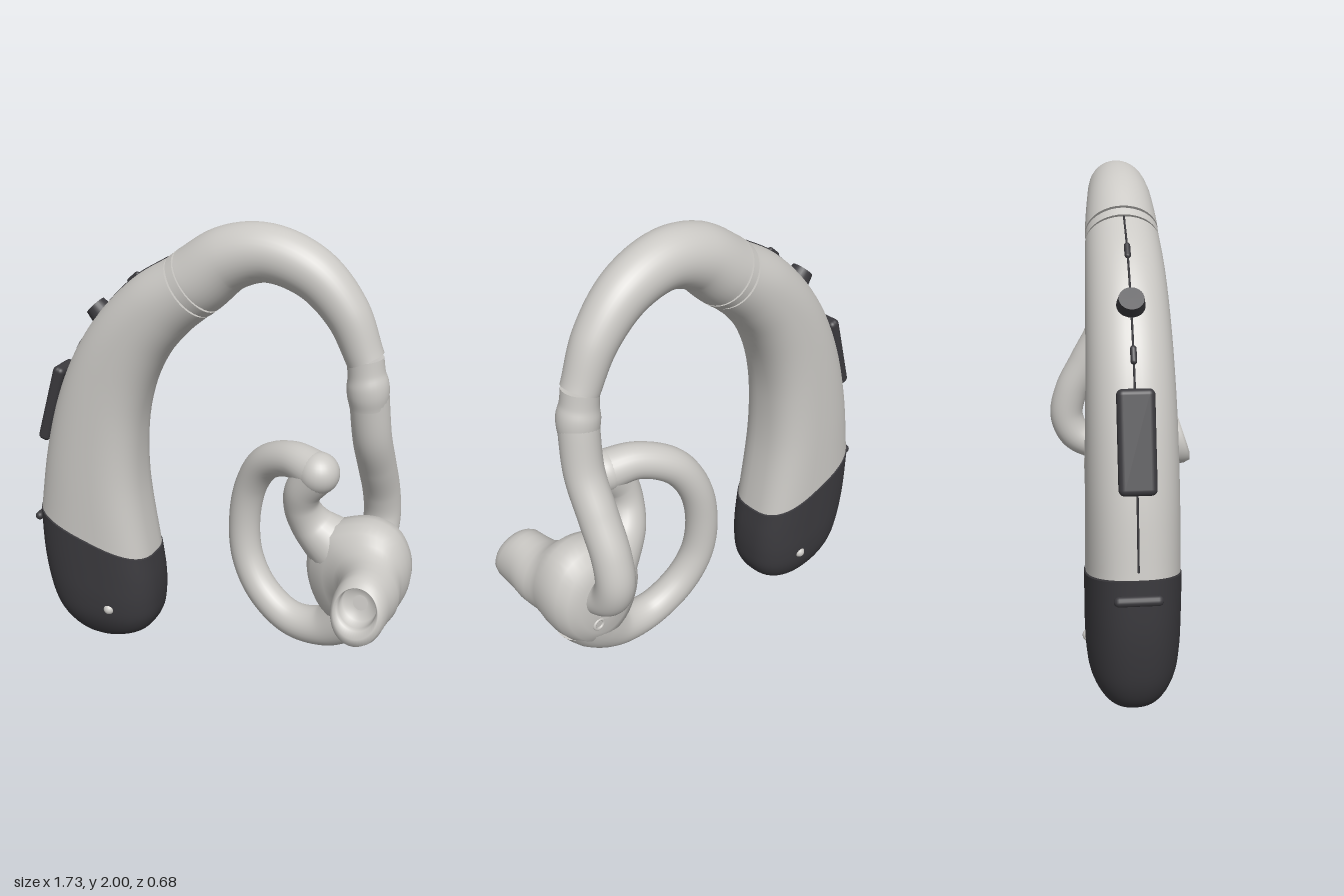
import * as THREE from 'three';
import { RoundedBoxGeometry } from 'three/addons/geometries/RoundedBoxGeometry.js';

const ZC = -0.053; // mid plane of the case
const V = (x, y, z) => new THREE.Vector3(x, y, z);

// Skin through closed rings of equal length; ends are capped with separate vertices.
function loft(rings, capStart = true, capEnd = true) {
  const n = rings[0].length, pos = [], idx = [];
  const push = (r) => { r.forEach((p) => pos.push(p.x, p.y, p.z)); return pos.length / 3 - n; };
  const starts = rings.map(push);
  const quad = (a, b) => {
    for (let j = 0; j < n; j++) {
      const k = (j + 1) % n;
      idx.push(a + j, a + k, b + k, a + j, b + k, b + j);
    }
  };
  for (let i = 0; i + 1 < starts.length; i++) quad(starts[i], starts[i + 1]);
  const cap = (r, atStart) => {
    const c = r.reduce((s, p) => s.add(p), V(0, 0, 0)).divideScalar(n);
    const a = push(r), m = pos.push(c.x, c.y, c.z) / 3 - 1;
    for (let j = 0; j < n; j++) {
      const k = (j + 1) % n;
      atStart ? idx.push(a + k, a + j, m) : idx.push(a + j, a + k, m);
    }
  };
  if (capStart) cap(rings[0], true);
  if (capEnd) cap(rings[rings.length - 1], false);
  // turn the faces outwards
  let vol = 0;
  const at = (i) => V(pos[3 * i], pos[3 * i + 1], pos[3 * i + 2]);
  for (let i = 0; i < idx.length; i += 3) vol += at(idx[i]).dot(at(idx[i + 1]).cross(at(idx[i + 2])));
  if (vol < 0) idx.reverse();
  const g = new THREE.BufferGeometry();
  g.setAttribute('position', new THREE.Float32BufferAttribute(pos, 3));
  g.setIndex(idx);
  g.computeVertexNormals();
  return g;
}

// Round tube with changing radius; keys are [x, y, z, radius].
function sweep(keys, steps = 60, sides = 28) {
  const curve = new THREE.CatmullRomCurve3(keys.map((k) => V(k[0], k[1], k[2])), false, 'centripetal');
  const radius = new THREE.SplineCurve(keys.map((k) => new THREE.Vector2(k[3], 0)));
  const f = curve.computeFrenetFrames(steps, false);
  const rings = [];
  for (let i = 0; i <= steps; i++) {
    const p = curve.getPointAt(i / steps), r = radius.getPoint(curve.getUtoTmapping(i / steps)).x;
    rings.push(Array.from({ length: sides }, (_, j) => {
      const a = (j / sides) * Math.PI * 2;
      return p.clone().addScaledVector(f.normals[i], r * Math.cos(a)).addScaledVector(f.binormals[i], r * Math.sin(a));
    }));
  }
  return loft(rings);
}

// Case shell; keys are [outer x, outer y, inner x, inner y, half depth].
function shell(keys, nStart, nEnd, steps = 40, sides = 48) {
  const spl = (a, b) => new THREE.SplineCurve(keys.map((k) => new THREE.Vector2(k[a], b < 0 ? 0 : k[b])));
  const outer = spl(0, 1), inner = spl(2, 3), depth = spl(4, -1);
  const rings = [];
  for (let i = 0; i <= steps; i++) {
    const t = i / steps, o = outer.getPoint(t), q = inner.getPoint(t), d = depth.getPoint(t).x;
    const n = THREE.MathUtils.lerp(nStart, nEnd, t);
    rings.push(Array.from({ length: sides }, (_, j) => {
      const a = (j / sides) * Math.PI * 2, c = Math.cos(a), s = Math.sin(a);
      const e = 2 / (c > 0 ? n + (n - 2) * 0.8 : n); // flatter on the inner side
      const u = Math.sign(c) * Math.abs(c) ** e, w = Math.sign(s) * Math.abs(s) ** e;
      return V((o.x + q.x) / 2 + (u * (q.x - o.x)) / 2, (o.y + q.y) / 2 + (u * (q.y - o.y)) / 2, ZC + w * d);
    }));
  }
  return loft(rings);
}

// Ear piece: rounded outline at the back blending into a canal with a hollow tip.
function earPlug() {
  const C = [0.66, 0.6];
  const outline = new THREE.CatmullRomCurve3([[0.86, 0.6], [0.85, 0.72], [0.79, 0.82], [0.7, 0.855], [0.59, 0.835],
    [0.48, 0.77], [0.435, 0.65], [0.455, 0.51], [0.52, 0.4], [0.62, 0.35], [0.73, 0.38], [0.82, 0.48]]
    .map(([x, y]) => V(x, y, 0)), true).getSpacedPoints(48).slice(0, 48);
  // [z, outline scale, blend to canal, canal centre x, y, radius x, radius y, tilt]
  const rows = [[-0.178, 0.3, 0], [-0.172, 0.6, 0], [-0.15, 0.83, 0], [-0.11, 0.96, 0], [-0.06, 1, 0], [-0.01, 0.99, 0],
    [0.03, 0.95, 0.12], [0.06, 0.9, 0.45], [0.09, 0.9, 0.8], [0.13, 0.9, 1], [0.18, 1, 1, 0.745, 0.63, 0.115, 0.14, 0],
    [0.23, 1, 1, 0.745, 0.63, 0.11, 0.138, 0.1], [0.275, 1, 1, 0.745, 0.63, 0.109, 0.132, 0.25],
    [0.302, 1, 1, 0.745, 0.632, 0.1, 0.118, 0.32], [0.31, 1, 1, 0.745, 0.642, 0.088, 0.096, 0.32],
    [0.302, 1, 1, 0.745, 0.655, 0.078, 0.08, 0.3], [0.285, 1, 1, 0.745, 0.655, 0.074, 0.076, 0.3],
    [0.25, 1, 1, 0.745, 0.655, 0.07, 0.072, 0.2], [0.245, 1, 1, 0.745, 0.655, 0.03, 0.03, 0.2]];
  return loft(rows.map(([z, s, b, cx = 0.74, cy = 0.625, rx = 0.125, ry = 0.145, k = 0]) => outline.map((p) => {
    const a = Math.atan2(p.y - C[1], p.x - C[0]);
    const x = THREE.MathUtils.lerp(C[0] + (p.x - C[0]) * s, cx + rx * Math.cos(a), b);
    const y = THREE.MathUtils.lerp(C[1] + (p.y - C[1]) * s, cy + ry * Math.sin(a), b);
    return V(x, y, z - k * (y - cy));
  })));
}

export function createModel() {
  const root = new THREE.Group();
  root.name = 'hearingAid';
  const mat = (name, color) => { const m = new THREE.MeshStandardMaterial({ color }); m.name = name; return m; };
  const light = mat('warmGrey', 0xcbc9c5), dark = mat('charcoal', 0x3b3a3e);
  const add = (name, geo, m, p = [0, 0, 0], rot = [0, 0, 0]) => {
    const mesh = new THREE.Mesh(geo, m);
    mesh.name = name;
    mesh.position.set(...p);
    mesh.rotation.set(...rot);
    root.add(mesh);
    return mesh;
  };

  // Case and battery compartment
  const caseKeys = [[-0.2, 1.83, -0.03, 1.61, 0.143], [-0.35, 1.735, -0.13, 1.52, 0.15], [-0.5, 1.585, -0.225, 1.4, 0.156],
    [-0.625, 1.4, -0.297, 1.24, 0.162], [-0.72, 1.18, -0.335, 1.05, 0.168], [-0.79, 0.92, -0.337, 0.8, 0.173],
    [-0.838, 0.645, -0.29, 0.48, 0.176]];
  add('caseShell', shell(caseKeys, 2, 2.5), light);
  add('batteryCompartment', shell([[-0.842, 0.64, -0.286, 0.475, 0.18], [-0.84, 0.44, -0.268, 0.36, 0.18],
    [-0.82, 0.28, -0.265, 0.25, 0.178], [-0.79, 0.165, -0.28, 0.155, 0.165], [-0.74, 0.08, -0.335, 0.075, 0.13],
    [-0.66, 0.025, -0.44, 0.025, 0.085], [-0.57, 0.006, -0.53, 0.006, 0.02]], 2.5, 2.2), dark);
  for (const s of [-1, 1]) {
    add('batteryDot', new THREE.SphereGeometry(0.025, 20, 14), light, [-0.45, 0.225, ZC + s * 0.162]);
  }
  add('hingePin', new THREE.CapsuleGeometry(0.019, 0.14, 6, 14), dark, [-0.848, 0.57, ZC], [Math.PI / 2, 0, 0]);

  // Controls along the spine
  add('rockerSwitch', new RoundedBoxGeometry(0.055, 0.37, 0.135, 4, 0.022), dark, [-0.757, 1.13, ZC], [0, 0, -0.29]);
  add('roundButton', new THREE.CylinderGeometry(0.046, 0.054, 0.055, 28), dark, [-0.523, 1.57, ZC], [0, 0, 0.8]);
  const spine = new THREE.CatmullRomCurve3(caseKeys.map((k) => V(k[0], k[1], ZC)));
  const spinePts = spine.getPoints(60).filter((p) => p.y > 0.66);
  add('spineSeam', new THREE.TubeGeometry(new THREE.CatmullRomCurve3(spinePts), 60, 0.004, 6), dark);
  for (const [x, y, r] of [[-0.622, 1.405, -0.53], [-0.36, 1.727, -0.84]]) {
    add('microphoneSlot', new THREE.CapsuleGeometry(0.012, 0.045, 4, 10), dark, [x, y, ZC], [0, 0, r]);
  }

  // Neck ring between case and hook
  const ring = (a, b, r) => sweep([a, (a + b) / 2, b].map((t) => [-0.115 + 0.79 * t, 1.72 + 0.61 * t, ZC, r]), 4, 40);
  add('neckCore', ring(-0.03, 0.08, 0.131), light);
  add('neckRing', ring(0.008, 0.042, 0.141), light);

  // Hook, collar and sound tube
  add('earHook', sweep([[-0.075, 1.752, ZC, 0.141], [0.06, 1.853, ZC, 0.127], [0.22, 1.889, ZC, 0.111],
    [0.4, 1.832, ZC, 0.1], [0.535, 1.7, ZC, 0.087], [0.62, 1.525, ZC, 0.074]], 60, 36), light);
  add('tubeCollar', sweep([[0.618, 1.53, ZC, 0.071], [0.627, 1.47, ZC, 0.073], [0.634, 1.43, ZC, 0.081],
    [0.638, 1.39, ZC, 0.081], [0.642, 1.34, -0.057, 0.074]], 20), light);
  add('soundTube', sweep([[0.64, 1.4, -0.055, 0.077], [0.655, 1.2, -0.09, 0.077], [0.663, 1.05, -0.165, 0.077],
    [0.67, 0.9, -0.24, 0.077], [0.675, 0.78, -0.262, 0.077], [0.675, 0.69, -0.225, 0.077],
    [0.675, 0.645, -0.15, 0.077], [0.675, 0.64, -0.08, 0.077]]), light);

  // Ear mould: hoop, curl and plug
  add('mouldHoop', sweep([[0.475, 1.055, 0.02, 0.084], [0.355, 1.068, -0.03, 0.075], [0.22, 1.005, -0.09, 0.073],
    [0.14, 0.88, -0.125, 0.069], [0.105, 0.705, -0.135, 0.068], [0.125, 0.52, -0.125, 0.069], [0.21, 0.38, -0.1, 0.071],
    [0.355, 0.292, -0.07, 0.075], [0.51, 0.305, -0.055, 0.088], [0.63, 0.4, -0.05, 0.11], [0.7, 0.5, -0.05, 0.12]], 90), light);
  add('mouldTip', new THREE.SphereGeometry(0.086, 28, 20), light, [0.478, 1.055, 0.02]);
  add('mouldCurl', sweep([[0.475, 1.05, 0.02, 0.082], [0.415, 0.96, 0.01, 0.076], [0.405, 0.88, -0.01, 0.074],
    [0.44, 0.79, -0.04, 0.088], [0.54, 0.7, -0.06, 0.12]], 40), light);
  add('earPlug', earPlug(), light);

  // Vent openings on the canal tip and the back of the plug
  add('ventRim', new THREE.TorusGeometry(0.025, 0.007, 10, 24), light, [0.755, 0.535, 0.318], [0.35, 0, 0]);
  add('ventRim', new THREE.TorusGeometry(0.022, 0.007, 10, 24), light, [0.7, 0.52, -0.175]);
  return root;
}
